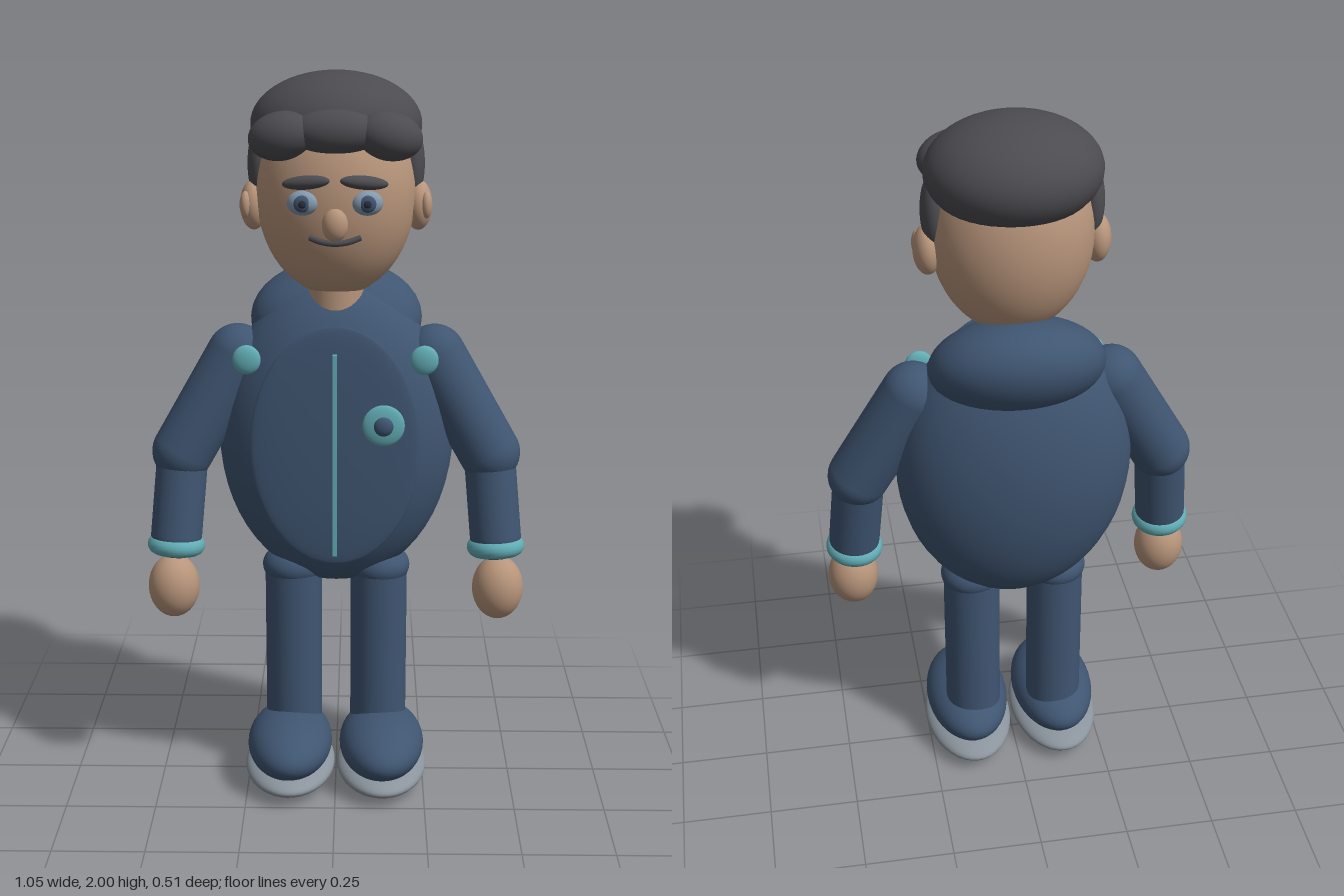
import * as THREE from 'three';

const mat = (name, color) => {
  const m = new THREE.MeshStandardMaterial({ color });
  m.name = name;
  return m;
};

export function createModel() {
  const model = new THREE.Group();
  model.name = 'standingFigure';

  const navy = mat('navyCloth', 0x3f5571);
  const skin = mat('skin', 0xb8957b);
  const hair = mat('darkHair', 0x4c4b50);
  const teal = mat('tealTrim', 0x62adb5);
  const grey = mat('greySole', 0x8b949d);
  const eyeGrey = mat('eyeBlueGrey', 0x8499ad);
  const dark = mat('darkPupil', 0x2b2f3a);

  const add = (name, geo, material, pos = [0, 0, 0]) => {
    const mesh = new THREE.Mesh(geo, material);
    mesh.name = name;
    mesh.position.set(...pos);
    model.add(mesh);
    return mesh;
  };
  // Ellipsoid from centre, radii and optional rotation
  const ball = (name, material, pos, radii, rot = [0, 0, 0]) => {
    const mesh = add(name, new THREE.SphereGeometry(1, 40, 28), material, pos);
    mesh.scale.set(...radii);
    mesh.rotation.set(...rot);
    return mesh;
  };
  // Capsule running between two points
  const limb = (name, material, a, b, r) => {
    const p = new THREE.Vector3(...a), q = new THREE.Vector3(...b);
    const d = q.clone().sub(p);
    const mesh = add(name, new THREE.CapsuleGeometry(r, d.length(), 12, 32), material);
    mesh.position.copy(p).add(q).multiplyScalar(0.5);
    mesh.quaternion.setFromUnitVectors(new THREE.Vector3(0, 1, 0), d.normalize());
    return mesh;
  };

  // Torso, hood and neck
  ball('torso', navy, [0, 1.01, -0.035], [0.325, 0.43, 0.2]);
  ball('hood', navy, [0, 1.33, -0.082], [0.236, 0.13, 0.185], [0.6, 0, 0]);
  add('neck', new THREE.CylinderGeometry(0.075, 0.075, 0.2, 32), skin, [0, 1.43, -0.005]);

  // Jacket front with zip and round badge
  ball('jacketFront', navy, [0, 1.025, 0.172], [0.227, 0.33, 0.018]);
  add('zip', new THREE.BoxGeometry(0.012, 0.555, 0.016), teal, [0, 1.007, 0.203]);
  ball('badge', teal, [0.129, 1.092, 0.197], [0.056, 0.056, 0.013]);
  ball('badgeCentre', navy, [0.129, 1.092, 0.208], [0.026, 0.026, 0.014]);

  // Head and nose
  ball('head', skin, [0, 1.68, -0.005], [0.213, 0.275, 0.19]);
  ball('nose', skin, [0, 1.622, 0.178], [0.034, 0.044, 0.028]);

  // Hair cap and front locks
  ball('hairCap', hair, [0, 1.86, -0.03], [0.228, 0.14, 0.195]);
  ball('middleLock', hair, [0, 1.855, 0.135], [0.115, 0.06, 0.06]);

  // Moustache
  const lip = new THREE.CatmullRomCurve3([
    [-0.066, 1.587, 0.164], [-0.035, 1.577, 0.173], [0, 1.573, 0.177],
    [0.035, 1.577, 0.173], [0.066, 1.587, 0.164],
  ].map((p) => new THREE.Vector3(...p)));
  add('moustache', new THREE.TubeGeometry(lip, 32, 0.008, 10), hair);

  // Mirrored parts
  for (const s of [1, -1]) {
    const side = s > 0 ? 'left' : 'right';

    // Face and hair at the sides
    ball(side + 'FrontLock', hair, [s * 0.138, 1.843, 0.122], [0.09, 0.063, 0.067], [0, s * 0.25, s * -0.2]);
    ball(side + 'Sideburn', hair, [s * 0.203, 1.755, -0.018], [0.033, 0.1, 0.046]);
    ball(side + 'Ear', skin, [s * 0.22, 1.648, -0.012], [0.037, 0.067, 0.052]);
    ball(side + 'InnerEar', skin, [s * 0.24, 1.652, 0.022], [0.016, 0.036, 0.022]);
    ball(side + 'Eyebrow', hair, [s * 0.075, 1.73, 0.172], [0.064, 0.018, 0.02], [0, s * 0.25, s * -0.1]);
    ball(side + 'Eye', eyeGrey, [s * 0.084, 1.677, 0.169], [0.041, 0.032, 0.024], [0, s * 0.2, 0]);
    ball(side + 'Iris', navy, [s * 0.084, 1.677, 0.187], [0.022, 0.022, 0.01]);
    ball(side + 'Pupil', dark, [s * 0.084, 1.677, 0.193], [0.011, 0.011, 0.007]);

    // Arm, cuff and hand
    const shoulder = [s * 0.27, 1.235, -0.022], elbow = [s * 0.424, 0.967, 0.01];
    const wrist = [s * 0.444, 0.735, 0.045];
    limb(side + 'UpperArm', navy, shoulder, elbow, 0.085);
    limb(side + 'Forearm', navy, elbow, wrist, 0.071);
    const cuff = add(side + 'Cuff', new THREE.TorusGeometry(0.053, 0.027, 16, 40), teal,
      [s * 0.445, 0.706, 0.048]);
    cuff.rotation.set(Math.PI / 2 - 0.12, s * 0.06, 0);
    ball(side + 'Hand', skin, [s * 0.452, 0.592, 0.068], [0.071, 0.09, 0.07]);
    ball(side + 'ShoulderPin', teal, [s * 0.238, 1.248, 0.103], [0.038, 0.04, 0.016]);

    // Leg, shoe and sole
    ball(side + 'Hip', navy, [s * 0.122, 0.625, -0.025], [0.086, 0.06, 0.084]);
    add(side + 'Leg', new THREE.CylinderGeometry(0.08, 0.08, 0.5, 32), navy, [s * 0.121, 0.39, -0.025]);
    ball(side + 'Shoe', navy, [s * 0.131, 0.115, 0.05], [0.12, 0.085, 0.206]);
    ball(side + 'Sole', grey, [s * 0.131, 0.045, 0.04], [0.128, 0.045, 0.222]);
  }
  return model;
}
